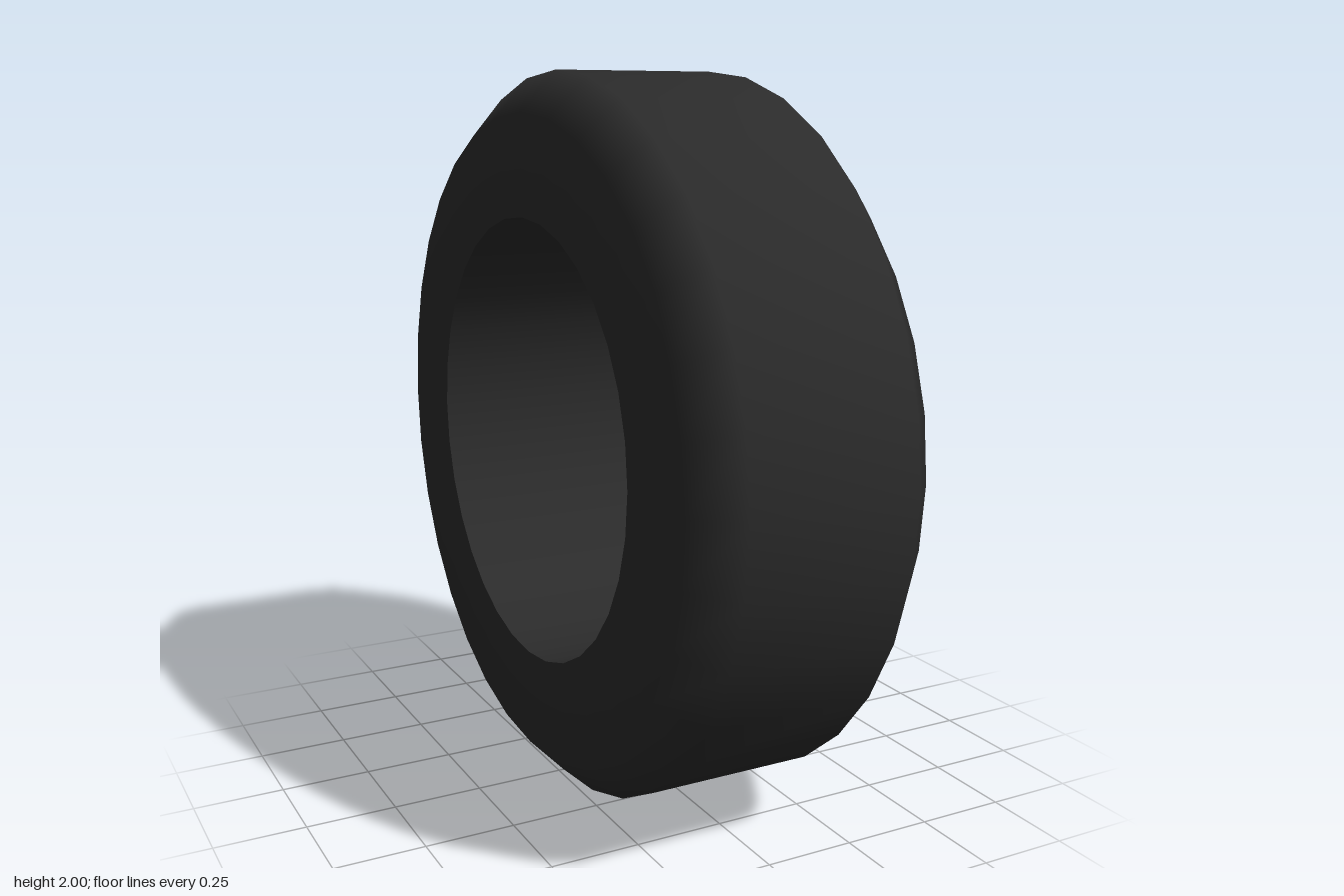
import * as THREE from 'three';

const SEGMENTS = 32;
const HOLE_RADIUS = 0.615;
const SIDE_RADIUS = 0.89;
const TREAD_RADIUS = 1;
const HALF_WIDTH = 0.34;
const HALF_TREAD = 0.235;

export function createModel() {
  const tyre = new THREE.Group();
  tyre.name = 'tyre';
  const rubber = new THREE.MeshStandardMaterial({ color: 0x2b2b2b });

  // Revolves a [radius, offset] profile around the x axis
  const addRing = (name, profile) => {
    const points = profile.map(([r, h]) => new THREE.Vector2(r, h));
    const geometry = new THREE.LatheGeometry(points, SEGMENTS);
    geometry.rotateZ(-Math.PI / 2);
    const mesh = new THREE.Mesh(geometry, rubber);
    mesh.name = name;
    mesh.position.y = TREAD_RADIUS;
    tyre.add(mesh);
  };

  // Sidewalls, bevelled shoulders and tread, smoothly shaded as one skin
  addRing('treadAndSidewalls', [
    [HOLE_RADIUS, -HALF_WIDTH],
    [SIDE_RADIUS, -HALF_WIDTH],
    [TREAD_RADIUS, -HALF_TREAD],
    [TREAD_RADIUS, HALF_TREAD],
    [SIDE_RADIUS, HALF_WIDTH],
    [HOLE_RADIUS, HALF_WIDTH],
  ]);

  // Wall of the central hole, kept separate for a sharp rim
  addRing('innerWall', [
    [HOLE_RADIUS, HALF_WIDTH],
    [HOLE_RADIUS, -HALF_WIDTH],
  ]);

  return tyre;
}
